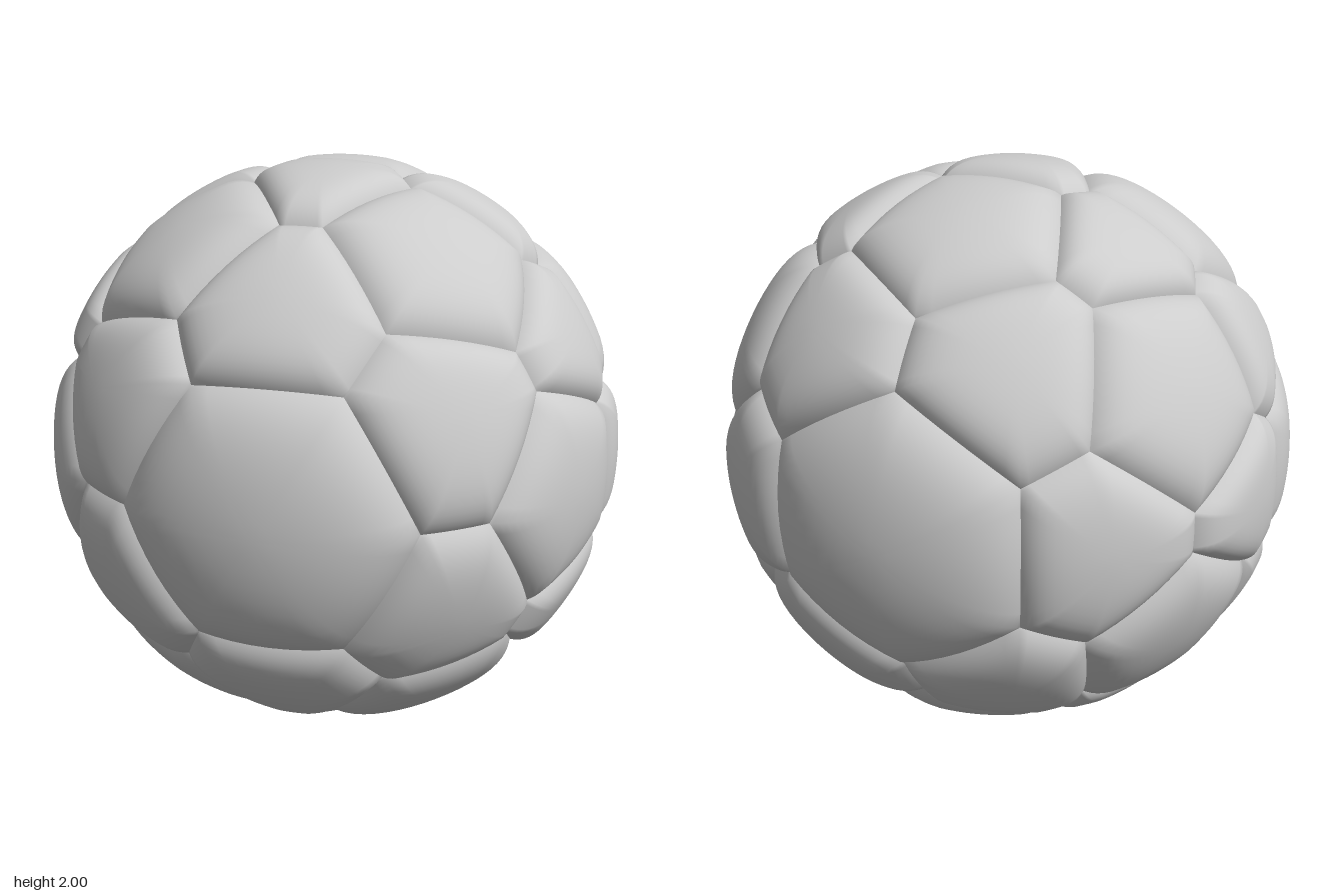
import * as THREE from 'three';

const EDGE_RADIUS = 0.95, PUFF = 0.05, RINGS = 12, DIV = 8;

// Direction on the unit sphere: tilt away from +z, turn around z (degrees)
function dir([tilt, turn]) {
  const t = THREE.MathUtils.degToRad(tilt), a = THREE.MathUtils.degToRad(turn);
  return new THREE.Vector3(Math.sin(t) * Math.cos(a), Math.sin(t) * Math.sin(a), Math.cos(t));
}

// Puffed spherical polygon; corners run counter-clockwise seen from outside
function panelGeometry(corners) {
  const pts = corners.map(dir);
  const centre = pts.reduce((s, p) => s.add(p), new THREE.Vector3()).normalize();
  const rim = [];
  pts.forEach((p, i) => {
    const next = pts[(i + 1) % pts.length];
    for (let j = 0; j < DIV; j++) rim.push(p.clone().lerp(next, j / DIV).normalize());
  });
  const n = rim.length, positions = [...centre.toArray()], index = [];
  for (let r = 1; r <= RINGS; r++) {
    const t = 1 - (1 - r / RINGS) ** 1.5; // rings crowd towards the seam
    const radius = EDGE_RADIUS + PUFF * (1 - t ** 5.5);
    for (const e of rim) {
      positions.push(...centre.clone().lerp(e, t).normalize().multiplyScalar(radius).toArray());
    }
    const inner = 1 + (r - 2) * n, outer = 1 + (r - 1) * n;
    for (let i = 0; i < n; i++) {
      const k = (i + 1) % n;
      if (r === 1) index.push(0, outer + i, outer + k);
      else index.push(inner + i, outer + i, outer + k, inner + i, outer + k, inner + k);
    }
  }
  const g = new THREE.BufferGeometry();
  g.setAttribute('position', new THREE.Float32BufferAttribute(positions, 3));
  g.setIndex(index);
  g.computeVertexNormals();
  return g;
}

export function createModel() {
  const grey = new THREE.MeshStandardMaterial({ color: 0xcccccc });
  grey.name = 'lightGrey';

  // Seam corners by tilt from the pole
  const A = a => [30.5, a], B = a => [44.8, a], C = a => [63, a], D = a => [86.7, a], E = a => [93.3, a];

  const pole = panelGeometry([0, 60, 120, 180, 240, 300].map(A));
  const rings = [
    { name: 'innerPanel', start: 30,
      geo: panelGeometry([A(-30), B(-30), C(-4.8), C(4.8), B(30), A(30)]) },
    { name: 'fivePointPanel', start: 0,
      geo: panelGeometry([B(0), C(-25.2), D(-13.2), D(13.2), C(25.2)]) },
    { name: 'equatorPanel', start: 30,
      geo: panelGeometry([C(-4.8), D(-16.8), E(-13.2), E(13.2), D(16.8), C(4.8)]) },
  ];

  function halfBall(name) {
    const half = new THREE.Group();
    half.name = name;
    const cap = new THREE.Mesh(pole, grey);
    cap.name = 'polePanel';
    half.add(cap);
    for (const { name: part, start, geo } of rings) {
      for (let k = 0; k < 6; k++) {
        const panel = new THREE.Mesh(geo, grey);
        panel.name = part + (k + 1);
        panel.rotation.z = THREE.MathUtils.degToRad(start + 60 * k);
        half.add(panel);
      }
    }
    return half;
  }

  const ball = new THREE.Group();
  ball.name = 'ball';
  ball.position.y = 1;
  const front = halfBall('frontHalf');
  // The back half is the front turned over, its panels staggered by 30 degrees
  const back = halfBall('backHalf');
  back.setRotationFromAxisAngle(dir([90, 15]), Math.PI);
  ball.add(front, back);

  const model = new THREE.Group();
  model.name = 'panelledBall';
  model.add(ball);
  return model;
}
